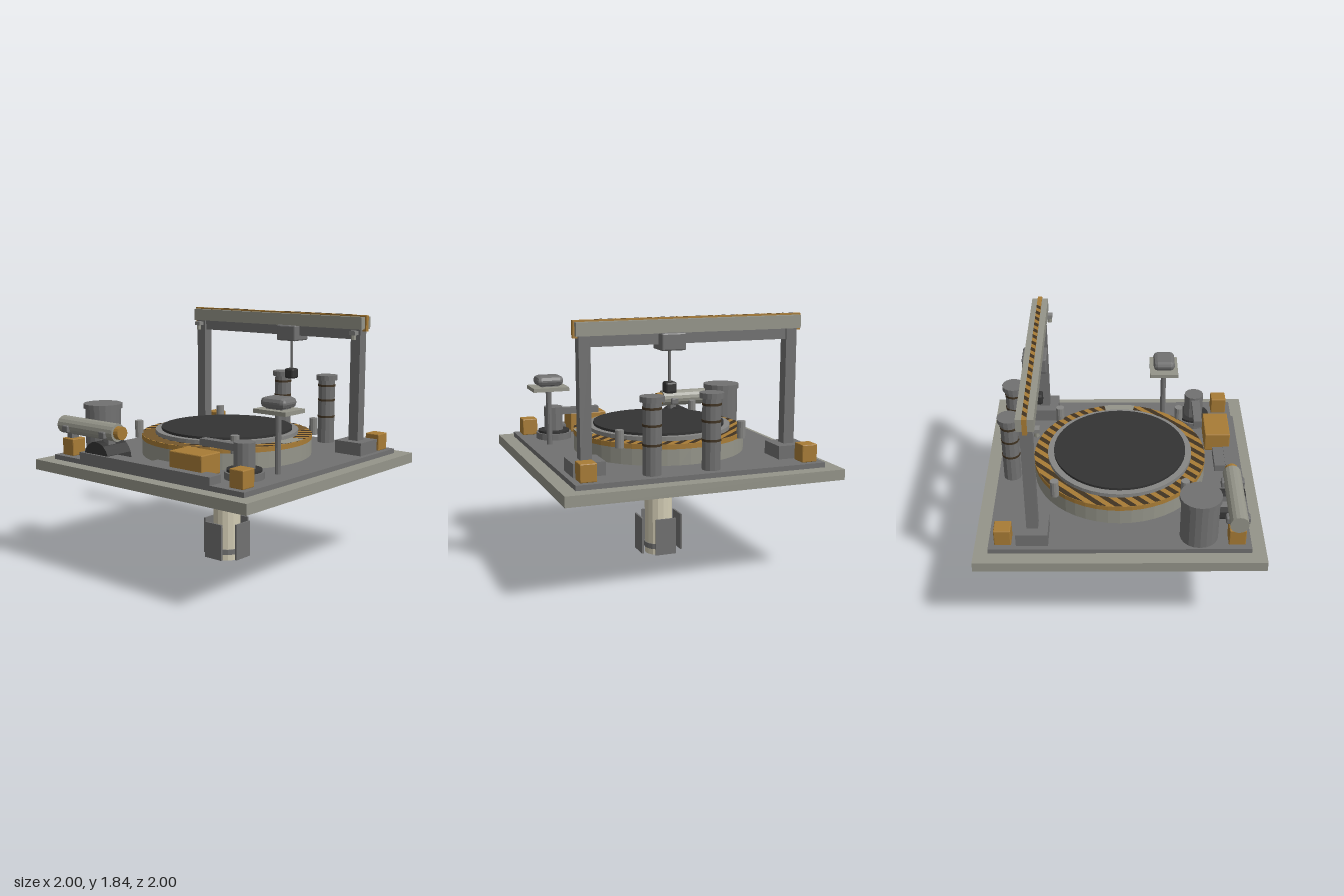
import * as THREE from 'three';
import { RoundedBoxGeometry } from 'three/addons/geometries/RoundedBoxGeometry.js';

function material(name, color) {
  const m = new THREE.MeshStandardMaterial({ color, flatShading: true });
  m.name = name;
  return m;
}

export function createModel() {
  const group = new THREE.Group();
  const concrete = material('concrete', 0x95958a);
  const steel = material('steel', 0x717171);
  const rimGrey = material('rim grey', 0x868684);
  const dark = material('dark rubber', 0x343434);
  const ochre = material('ochre paint', 0xa87c36);
  const cream = material('cream shell', 0xd2ccb4);
  const stripe = material('stripe brown', 0x403322);

  const add = (name, geo, mat, x = 0, y = 0, z = 0) => {
    const m = new THREE.Mesh(geo, mat);
    m.name = name;
    m.position.set(x, y, z);
    group.add(m);
    return m;
  };
  // box given by its min and max on every axis
  const box = (name, mat, x0, x1, y0, y1, z0, z1, bevel = 0) => {
    const s = [x1 - x0, y1 - y0, z1 - z0];
    const geo = bevel ? new RoundedBoxGeometry(...s, 1, bevel) : new THREE.BoxGeometry(...s);
    return add(name, geo, mat, (x0 + x1) / 2, (y0 + y1) / 2, (z0 + z1) / 2);
  };
  // upright cylinder from y0 to y1
  const cyl = (name, mat, x, z, y0, y1, r, sides = 16, rTop = r) =>
    add(name, new THREE.CylinderGeometry(rTop, r, y1 - y0, sides), mat, x, (y0 + y1) / 2, z);
  // flat upward-facing shape; shape coordinates are (x, -z)
  const plate = (name, shape, mat, y, segs = 24) =>
    add(name, new THREE.ShapeGeometry(shape, segs).rotateX(-Math.PI / 2), mat, 0, y, 0);

  // ground slab and deck
  box('slab', concrete, -1, 1, 0.71, 0.785, -1, 1);
  box('deck', steel, -0.9, 0.9, 0.785, 0.82, -0.9, 0.9);

  // launch ring and lid
  cyl('ringBase', concrete, 0, 0, 0.82, 0.935, 0.63, 48);
  cyl('hazardRing', ochre, 0, 0, 0.935, 0.97, 0.632, 48);
  cyl('ringRim', rimGrey, 0, 0, 0.97, 1.0, 0.53, 48);
  cyl('lid', dark, 0, 0, 1.0, 1.018, 0.485, 48);

  // diagonal hazard stripes cut to the ring
  const ri = 0.53, ro = 0.63, pitch = 0.078, c = Math.SQRT1_2;
  for (let v0 = -8 * pitch; v0 < ro; v0 += pitch) {
    const v1 = Math.min(v0 + pitch / 2, ro);
    for (const side of [1, -1]) {
      const outer = [], inner = [];
      for (let i = 0; i <= 6; i++) {
        const v = v0 + (v1 - v0) * i / 6;
        const wo = side * Math.sqrt(Math.max(0, ro * ro - v * v));
        const wi = side * Math.sqrt(Math.max(0, ri * ri - v * v));
        outer.push(new THREE.Vector2((v + wo) * c, (wo - v) * c));
        inner.unshift(new THREE.Vector2((v + wi) * c, (wi - v) * c));
      }
      plate('ringStripe', new THREE.Shape([...outer, ...inner]), stripe, 0.972);
    }
  }
  // plain gap in the striping
  const gap = new THREE.Shape();
  gap.absarc(0, 0, 0.632, -0.19, 0.19, false);
  gap.absarc(0, 0, 0.53, 0.19, -0.19, true);
  plate('ringGap', gap, concrete, 0.975);
  for (const x of [-0.46, 0.46]) for (const z of [-0.46, 0.46])
    cyl('ringPost', rimGrey, x, z, 0.94, 1.065, 0.031, 12);

  // rocket below the slab
  cyl('rocketBody', cream, 0, 0, 0, 0.645, 0.104, 16);
  cyl('rocketNose', ochre, 0, 0, 0.645, 0.712, 0.104, 16, 0.074);
  cyl('rocketBand', steel, 0, 0, 0.483, 0.527, 0.109, 16);
  cyl('rocketBand', steel, 0, 0, 0.045, 0.085, 0.109, 16);
  for (let i = 0; i < 4; i++) {
    const fin = new THREE.BoxGeometry(0.16, 0.275, 0.014).translate(0, 0.158, 0.155);
    add('rocketFin', fin, steel).rotation.y = i * Math.PI / 2;
  }

  // gantry crane
  for (const s of [-1, 1]) {
    const x = s * 0.75;
    box('gantryFoot', steel, x - 0.112, x + 0.112, 0.82, 0.915, -0.71, -0.49);
    box('gantryColumn', steel, x - 0.04, x + 0.04, 0.9, 1.735, -0.638, -0.558);
    box('gantryLamp', rimGrey, x - 0.025, x + 0.025, 1.695, 1.725, -0.56, -0.51);
    cyl('gantryLampGlass', concrete, x, -0.53, 1.66, 1.7, 0.018, 8);
  }
  box('gantryBeam', concrete, -0.81, 0.81, 1.735, 1.825, -0.658, -0.54);
  box('gantryRail', steel, -0.71, 0.71, 1.66, 1.735, -0.625, -0.575);
  box('gantryTrim', ochre, -0.828, 0.822, 1.72, 1.836, -0.616, -0.584);
  for (let x = -0.8; x < 0.68; x += 0.088) {
    const s = new THREE.Shape([[x, 0.584], [x + 0.044, 0.584], [x + 0.076, 0.616], [x + 0.032, 0.616]]
      .map(p => new THREE.Vector2(...p)));
    plate('gantryStripe', s, stripe, 1.838);
  }
  box('trolley', steel, 0.06, 0.235, 1.62, 1.738, -0.688, -0.515, 0.01);
  cyl('cable', steel, 0.147, -0.6, 1.39, 1.63, 0.01, 8);
  box('hookBlock', dark, 0.105, 0.187, 1.325, 1.403, -0.64, -0.56, 0.014);

  // banded exhaust stacks
  for (const x of [-0.08, 0.345]) {
    cyl('stack', steel, x, -0.795, 0.82, 1.31, 0.064, 12);
    cyl('stackCap', steel, x, -0.795, 1.31, 1.347, 0.083, 16);
    for (const y of [1.025, 1.155, 1.268]) cyl('stackBand', stripe, x, -0.795, y - 0.008, y + 0.008, 0.067, 12);
  }

  // corner crates
  for (const x of [-0.8, 0.8]) for (const z of [-0.8, 0.8])
    box('cornerCrate', ochre, x - 0.058, x + 0.058, 0.82, 0.945, z - 0.058, z + 0.058, 0.006);

  // storage tank
  cyl('tank', steel, -0.755, 0.545, 0.82, 1.14, 0.133, 20);
  cyl('tankCap', steel, -0.755, 0.545, 1.14, 1.175, 0.145, 20);

  // spare rocket lying on its cradle
  const lying = (name, mat, x0, x1, r) =>
    add(name, new THREE.CylinderGeometry(r, r, x1 - x0, 16).rotateZ(Math.PI / 2), mat, (x0 + x1) / 2, 1.035, 0.798);
  lying('spareBody', concrete, -0.905, -0.33, 0.065);
  lying('spareTip', ochre, -0.33, -0.285, 0.048);
  for (const x of [-0.81, -0.42]) {
    box('spareClamp', steel, x - 0.03, x + 0.03, 0.99, 1.042, 0.715, 0.88, 0.008);
    box('spareCradle', steel, x - 0.025, x + 0.025, 0.92, 1.0, 0.765, 0.83);
  }
  add('spool', new THREE.CylinderGeometry(0.125, 0.125, 0.225, 20).rotateX(Math.PI / 2), dark, -0.465, 0.84, 0.775);

  // service rail, step and ochre chest
  box('serviceRail', steel, -0.62, 0.62, 0.82, 0.875, 0.79, 0.905);
  box('step', steel, -0.03, 0.21, 0.82, 0.87, 0.71, 0.79);
  box('chest', ochre, 0.205, 0.495, 0.84, 0.987, 0.65, 0.84, 0.007);

  // swivel post with arm
  cyl('swivelBase', steel, 0.65, 0.59, 0.82, 0.868, 0.135, 20);
  cyl('swivelPad', dark, 0.65, 0.59, 0.868, 0.885, 0.12, 20);
  cyl('swivelPost', steel, 0.65, 0.59, 0.88, 1.065, 0.073, 12);
  box('swivelArm', steel, 0.29, 0.65, 1.0, 1.048, 0.568, 0.63);

  // beacon mast
  cyl('mast', steel, 0.745, 0.35, 0.82, 1.24, 0.021, 10);
  box('mastPlate', concrete, 0.615, 0.882, 1.237, 1.265, 0.24, 0.458);
  box('beaconNeck', steel, 0.68, 0.81, 1.26, 1.29, 0.3, 0.4);
  box('beaconHead', steel, 0.645, 0.845, 1.272, 1.345, 0.268, 0.432, 0.03);

  return group;
}
